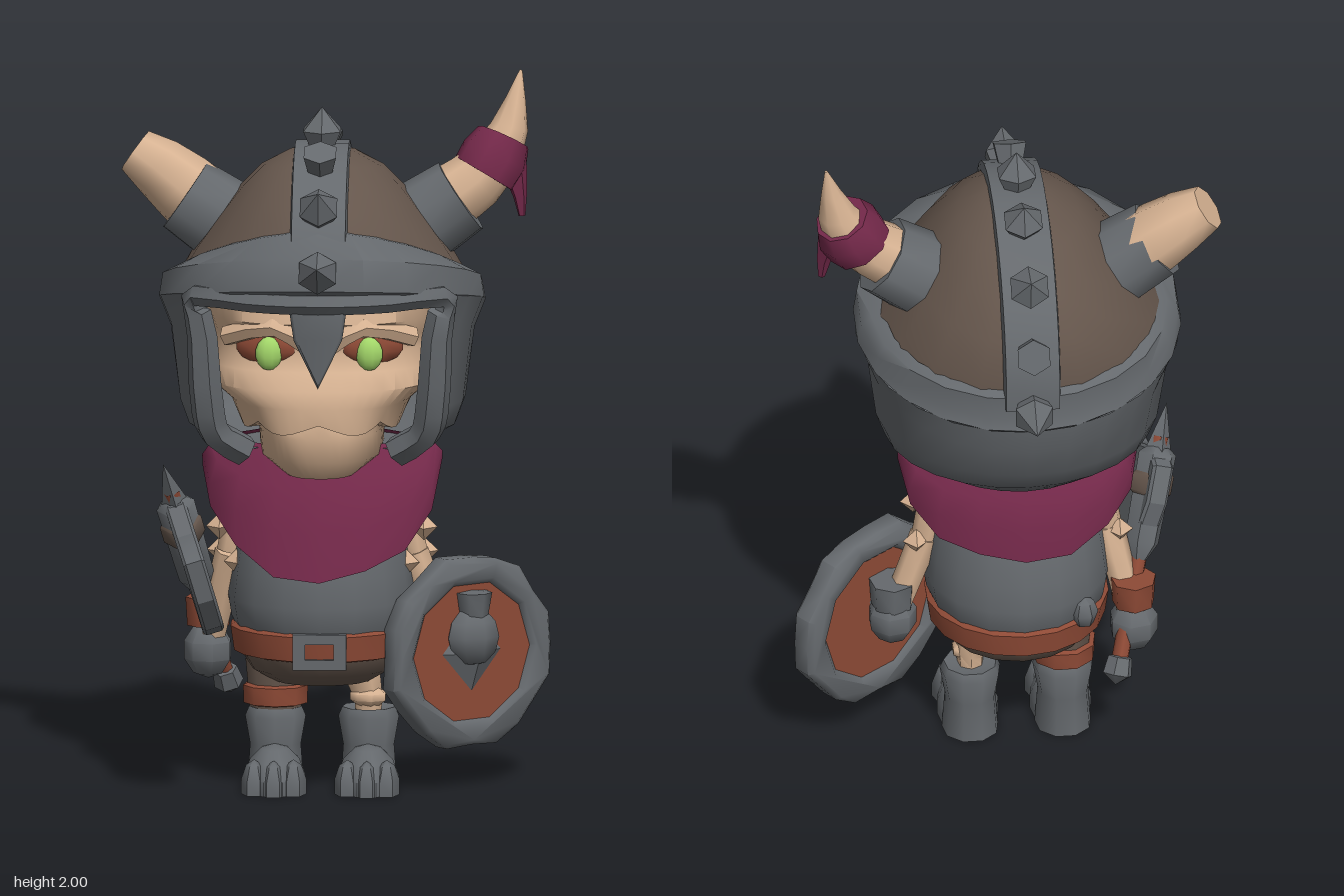
import * as THREE from 'three';
import { toCreasedNormals } from 'three/addons/utils/BufferGeometryUtils.js';

const V = (x, y, z) => new THREE.Vector3(x, y, z);
const mat = (name, color) => new THREE.MeshStandardMaterial({ name, color, side: THREE.DoubleSide });
const CX = -0.035; // middle of the body and head
const { sin, cos, PI, abs, sign, max } = Math;

export function createModel() {
  const root = new THREE.Group();
  const steel = mat('steel', 0x65696d), leather = mat('brownLeather', 0x65564c), bone = mat('bone', 0xd6b292);
  const wine = mat('wineCloth', 0x74294a), rust = mat('rustLeather', 0x8e4a36), green = mat('greenEye', 0xa4d86a);

  const add = (name, geo, m, parent = root, crease = 0.9) => {
    const mesh = new THREE.Mesh(toCreasedNormals(geo, crease), m);
    mesh.name = name;
    parent.add(mesh);
    return mesh;
  };
  // Surface from a rule f(u, v) with u and v in 0..1
  const grid = (nu, nv, f) => {
    const pos = [], idx = [];
    for (let j = 0; j <= nv; j++) for (let i = 0; i <= nu; i++) pos.push(...f(i / nu, j / nv).toArray());
    for (let j = 0; j < nv; j++) for (let i = 0; i < nu; i++) {
      const a = j * (nu + 1) + i, b = a + nu + 1;
      idx.push(a, a + 1, b, b, a + 1, b + 1);
    }
    const g = new THREE.BufferGeometry();
    g.setAttribute('position', new THREE.Float32BufferAttribute(pos, 3));
    g.setIndex(idx);
    return g;
  };
  const pick = (a, t) => { // linear lookup in a list
    const k = Math.min(Math.floor(t * (a.length - 1)), a.length - 2), f = t * (a.length - 1) - k;
    return a[k] + (a[k + 1] - a[k]) * f;
  };
  // Capped tube with changing radius
  const taper = (pts, radii, sides = 8, n = 6) => {
    const c = new THREE.CatmullRomCurve3(pts.map(p => V(...p))), fr = c.computeFrenetFrames(n);
    return grid(sides, n + 2, (u, v) => {
      const j = Math.round(v * (n + 2)) - 1, k = Math.min(max(j, 0), n), a = u * 2 * PI;
      const r = j === k ? pick(radii, k / n) : 0;
      return c.getPoint(k / n).addScaledVector(fr.normals[k], r * cos(a)).addScaledVector(fr.binormals[k], r * sin(a));
    });
  };
  const vecs = pts => pts.map(p => new THREE.Vector2(...p));
  const lathe = (pts, n = 16) => new THREE.LatheGeometry(vecs(pts), n);
  const ball = (x, y, z, sx, sy, sz, w = 10, h = 7) => new THREE.SphereGeometry(1, w, h).scale(sx, sy, sz).translate(x, y, z);
  const plate = (pts, depth) => new THREE.ExtrudeGeometry(new THREE.Shape(vecs(pts)),
    { depth, bevelSize: 0.008, bevelThickness: 0.008, bevelSegments: 1 });

  // ---- Head and helmet ----
  const head = new THREE.Group();
  head.name = 'head';
  head.position.x = CX;
  root.add(head);
  const planeY = a => 1.44 + 0.12 * cos(a); // tilted brim
  const lipY = a => planeY(a) - 0.06 - 0.03 * cos(a);
  const lat0 = a => Math.asin((0.02 + 0.116 * cos(a)) / 0.41);
  // Dome is round along z and more tent-like along x
  const dome = (a, l, s) => V(0.43 * s * cos(l) * sin(a) * (1 - 0.23 * sin(2 * max(l, 0))), 1.4 + 0.405 * s * sin(l), 0.422 * s * cos(l) * cos(a));
  add('helmetDome', grid(18, 6, (u, v) => { const a = u * 2 * PI, l = lat0(a); return dome(a, l + (PI / 2 - l) * v, 1); }), leather, head);
  add('helmetBrim', grid(22, 4, (u, v) => {
    const a = u * 2 * PI, k = Math.round(v * 4), l = lat0(a) + 0.09 + 0.13 * abs(cos(a));
    if (k < 2) return dome(a, l + (k ? 0 : 0.04), k ? 1.035 : 0.98);
    const r = [0.448, 0.458, 0.41][k - 2];
    return V(r * sin(a), [planeY(a), lipY(a), lipY(a) - 0.04][k - 2], r * cos(a) * (cos(a) < 0 ? 0.97 : 1));
  }), steel, head);
  const gx = [0.457, 0.425, 0.4, 0.375, 0.27, 0.1], gz = [0.446, 0.43, 0.38, 0.335, 0.265, 0.1];
  const guard = (a, t) => V(pick(gx, t) * sin(a), pick([lipY(a), lipY(a) - 0.08, 1.1, 1.03, 0.97, 0.985], t), pick(gz, t) * cos(a));
  const open = 0.9;
  add('helmetGuard', grid(18, 5, (u, v) => guard(open + u * (2 * PI - 2 * open), v)), steel, head);
  const side = [0.8, 0.6, 0.4, 0.2, 0.03].map(t => guard(open, t).toArray());
  const brow = [0.5, 0.2, -0.2, -0.5].map(a => [0.425 * sin(a), 1.43, 0.425 * cos(a)]);
  add('faceOpeningTrim', taper([...side, ...brow, ...side.map(([x, y, z]) => [-x, y, z]).reverse()], [0.045, 0.048, 0.032, 0.032, 0.032, 0.048, 0.045], 6, 28), steel, head);
  add('noseGuard', plate([[-0.085, 1.5], [0.085, 1.5], [0.06, 1.33], [0, 1.2], [-0.06, 1.33]], 0.035).translate(0, 0, 0.39), steel, head);
  add('crestBand', grid(3, 16, (u, v) => {
    const k = Math.round(u * 3), s = k % 3 ? 1.03 : 0.95, t = 0.2 + v * (PI - 0.1);
    return V([-0.08, -0.075, 0.075, 0.08][k], 1.4 + 0.405 * s * sin(t), 0.428 * s * cos(t));
  }), steel, head, 0.5);
  // Spikes along the crest: angle, tip distance, blunt or not
  [[15, 0.57], [39, 0.54], [63, 0.475, 1], [88, 0.52], [112, 0.51], [138, 0.52], [162, 0.485, 1], [185, 0.56]].forEach(([deg, tip, blunt]) => {
    const a = deg * PI / 180, L = tip - 0.4;
    const g = lathe(blunt ? [[0.035, 0], [0.052, L], [0, L]] : [[0.035, 0], [0.06, L * 0.45], [0, L]], 6);
    add('crestSpike', g.rotateX(PI / 2 - a).translate(0, 1.4 + 0.4 * sin(a), 0.4 * cos(a)), steel, head, 0.3);
  });

  // Horns: one broken, one whole with a cloth wrap
  for (const s of [-1, 1]) add('hornSocket', taper([[CX + s * 0.2, 1.53, -0.05], [CX + s * 0.385, 1.655, -0.06]], [0.13, 0.113], 9, 1), steel);
  add('brokenHorn', taper([[-0.36, 1.62, -0.06], [-0.46, 1.705, -0.08], [-0.56, 1.775, -0.095]], [0.105, 0.097, 0.066], 8, 3), bone);
  add('wholeHorn', taper([[0.29, 1.63, -0.06], [0.4, 1.71, -0.08], [0.475, 1.82, -0.11], [0.515, 2, -0.14]], [0.095, 0.085, 0.062, 0.004], 8, 7), bone);
  add('hornWrap', taper([[0.415, 1.715, -0.08], [0.445, 1.765, -0.09], [0.468, 1.815, -0.105]], [0.095, 0.098, 0.078], 9, 2), wine);
  add('hornWrapTail', taper([[0.49, 1.75, -0.08], [0.51, 1.68, -0.07], [0.52, 1.6, -0.065]], [0.045, 0.025, 0.01], 5, 3), wine);

  // Face: y, half width and depth of each level
  const face = [[0.905, 0.001, 0.2], [0.91, 0.11, 0.28], [0.96, 0.17, 0.315], [1.03, 0.175, 0.335], [1.075, 0.185, 0.33], [1.075, 0.225, 0.37],
    [1.12, 0.255, 0.375], [1.17, 0.315, 0.365], [1.22, 0.315, 0.33], [1.27, 0.3, 0.305], [1.31, 0.305, 0.315], [1.36, 0.32, 0.37], [1.46, 0.32, 0.34]];
  add('skull', grid(24, face.length - 1, (u, v) => {
    const k = Math.round(v * (face.length - 1)), [y, w, z] = face[k], a = (u - 0.5) * PI;
    const lip = k === 4 || k === 5 ? 0.03 * abs(sin(a * 4)) : 0; // wavy upper lip
    return V(w * sign(sin(a)) * abs(sin(a)) ** 0.8, y - lip, z * max(cos(a), 0) ** 0.7);
  }), bone, head);
  for (const s of [-1, 1]) {
    add('eyeSocket', ball(0, 0, 0, 0.088, 0.052, 0.03).rotateY(s * 0.3).translate(s * 0.15, 1.285, 0.28), rust, head);
    add('eye', ball(s * 0.14, 1.27, 0.308, 0.038, 0.048, 0.025), green, head);
    add('browBone', taper([[s * 0.03, 1.3, 0.35], [s * 0.12, 1.35, 0.345], [s * 0.26, 1.31, 0.25]], [0.03, 0.028, 0.03], 6, 4), bone, head);
  }

  // ---- Body ----
  const body = new THREE.Group();
  body.name = 'body';
  body.position.set(CX, 0, 0.022);
  root.add(body);
  add('tunic', lathe([[0.235, 0.44], [0.252, 0.48], [0.262, 0.54], [0.252, 0.62], [0.24, 0.7], [0.205, 0.8], [0.17, 0.88], [0.14, 1]]), steel, body);
  add('trousers', lathe([[0, 0.295], [0.14, 0.305], [0.2, 0.34], [0.235, 0.4], [0.235, 0.44]]), leather, body);
  add('belt', lathe([[0.23, 0.385], [0.248, 0.39], [0.258, 0.46], [0.235, 0.475]], 18), rust, body);
  const buckle = new THREE.Shape(vecs([[-0.075, -0.05], [0.075, -0.05], [0.075, 0.05], [-0.075, 0.05]]));
  buckle.holes.push(new THREE.Path(vecs([[-0.04, -0.022], [-0.04, 0.022], [0.04, 0.022], [0.04, -0.022]])));
  add('buckle', new THREE.ExtrudeGeometry(buckle, { depth: 0.03, bevelEnabled: false }).translate(0, 0.42, 0.23), steel, body);
  add('beltPouch', ball(-0.17, 0.49, -0.19, 0.04, 0.05, 0.04, 6, 4), steel, body);

  // Scarf hanging low in front and behind, arched over the shoulders
  add('scarf', grid(16, 4, (u, v) => {
    const a = u * 2 * PI, c = cos(a), k = Math.round(v * 4), hem = 0.915 - (c > 0 ? 0.295 : 0.195) * abs(c) + 0.01 * sin(5 * a);
    const t = [0, 0.3, 0.65, 1, 0.95][k], inset = k === 4 ? 0.035 : 0, bulge = [0, 0.04, 0.03, 0, 0][k];
    const rx = 0.25 + 0.085 * t + bulge - inset, rz = 0.17 + (c > 0 ? 0.14 : 0.08) * t + bulge * 0.7 - inset;
    return V(CX + rx * sin(a), 0.985 + (hem - 0.985) * t, rz * c);
  }), wine);

  // ---- Legs and boots ----
  add('rightThigh', lathe([[0.07, 0.17], [0.075, 0.25], [0.085, 0.36]], 9).translate(-0.165, 0, 0.01), leather);
  add('thighStrap', lathe([[0.07, 0.23], [0.09, 0.235], [0.092, 0.285], [0.07, 0.295]], 9).translate(-0.165, 0, 0.01), rust);
  add('leftLegBone', taper([[0.09, 0.18, 0.02], [0.095, 0.25, 0.02], [0.07, 0.34, 0.02]], [0.035, 0.04, 0.055], 7, 4), bone);
  add('kneeBone', ball(0.095, 0.255, 0.03, 0.055, 0.03, 0.045, 7, 5), bone);
  for (const x of [-0.165, 0.095]) {
    const floor = g => { // flatten the sole
      const p = g.attributes.position;
      for (let i = 0; i < p.count; i++) p.setY(i, max(p.getY(i), 0.003));
      return g;
    };
    add('bootShaft', lathe([[0.08, 0.003], [0.072, 0.12], [0.086, 0.2], [0.075, 0.225], [0, 0.21]], 9).translate(x, 0, 0.012), steel);
    add('bootFoot', floor(ball(x, 0.02, 0.09, 0.088, 0.11, 0.16)), steel);
    for (const t of [-0.055, 0, 0.055]) add('bootToe', floor(ball(x + t, 0.02, 0.2 - abs(t) * 0.4, 0.038, 0.08, 0.062, 6, 5)), steel);
  }

  // ---- Arms ----
  for (const s of [-1, 1]) {
    const at = (x, y, z) => [CX + s * x, y, z];
    const hand = s > 0 ? at(0.35, 0.4, 0.0) : at(0.32, 0.37, -0.06), elbow = at(0.255, 0.66, 0.01);
    add('shoulderPad', taper([at(0.19, 0.9, 0.02), at(0.235, 0.77, 0.02)], [0.055, 0.07], 7, 1), steel);
    add('upperArm', taper([at(0.2, 0.86, 0.01), at(0.235, 0.75, 0.01), elbow], [0.045, 0.045, 0.04], 7, 4), bone);
    for (const [dx, dy, dz] of [[0.03, 0.08, 0.05], [-0.03, 0.09, -0.04], [0.03, 0, -0.03], [-0.02, -0.02, 0.05]]) // jagged bone ends
      add('boneKnob', new THREE.OctahedronGeometry(0.038).translate(elbow[0] + s * dx, elbow[1] + dy, elbow[2] + dz), bone, root, 0.2);
    add('forearm', taper([elbow, hand], [0.045, 0.04], 7, 2), bone);
    add('wristCuff', taper([[hand[0], 0.52, hand[2]], [hand[0], 0.44, hand[2]]], [0.065, 0.06], 7, 1), s > 0 ? steel : rust);
    add('gauntlet', ball(hand[0], hand[1], hand[2], 0.072, 0.08, 0.072, 7, 5), steel);
  }

  // ---- Shield, turned outward ----
  const shield = new THREE.Group();
  shield.name = 'shield';
  shield.position.set(0.368, 0.39, 0.055);
  shield.rotation.y = 0.66;
  root.add(shield);
  const circle = (n, f) => Array.from({ length: n }, (_, i) => [f(i) * cos(i * 2 * PI / n), f(i) * sin(i * 2 * PI / n)]);
  const rim = new THREE.Shape(vecs(circle(20, i => 0.258 + 0.01 * sin(i * 2.4))));
  rim.holes.push(new THREE.Path(vecs(circle(10, () => 0.215).reverse())));
  add('shieldRim', new THREE.ExtrudeGeometry(rim, { depth: 0.05, bevelSize: 0.014, bevelThickness: 0.014, bevelSegments: 1 }).translate(0, 0, -0.025), steel, shield);
  add('shieldBoard', new THREE.CylinderGeometry(0.22, 0.22, 0.05, 10).rotateX(PI / 2), rust, shield);
  add('shieldBoss', ball(0, 0.045, 0.03, 0.083, 0.085, 0.065, 8, 6), steel, shield);
  add('bossPoint', new THREE.OctahedronGeometry(1).scale(0.1, 0.11, 0.045).translate(0, 0, 0.025), steel, shield, 0.2);
  add('bossTop', lathe([[0.04, 0.1], [0.052, 0.17], [0, 0.175]], 7).translate(0, 0, 0.035), steel, shield);

  // ---- Axe: local y runs up the handle, local x toward the edge ----
  const axe = new THREE.Group();
  axe.name = 'axe';
  const up = V(-0.17, 0.66, 0.33).normalize(), fwd = V(0.2, -0.4, 0.89);
  fwd.addScaledVector(up, -fwd.dot(up)).normalize();
  axe.applyMatrix4(new THREE.Matrix4().makeBasis(fwd, up, fwd.clone().cross(up)).setPosition(-0.3, 0.26, -0.15));
  root.add(axe);
  add('axeHandle', lathe([[0.024, 0], [0.024, 0.68]], 7), rust, axe);
  add('axePommel', lathe([[0, -0.03], [0.042, 0], [0.035, 0.05], [0, 0.06]], 6), steel, axe);
  add('axeSocket', lathe([[0.025, 0.33], [0.05, 0.38], [0.055, 0.63], [0.03, 0.65]], 6), steel, axe);
  add('axeBinding', lathe([[0.05, 0.51], [0.06, 0.52], [0.06, 0.57], [0.05, 0.58]], 6), leather, axe);
  add('axeSpike', new THREE.ConeGeometry(0.05, 0.18, 4).translate(0, 0.685, 0), steel, axe, 0.3);
  add('axeBlade', plate([[-0.07, 0.5], [0, 0.36], [0.14, 0.38], [0.28, 0.38], [0.36, 0.45], [0.39, 0.56], [0.36, 0.67],
    [0.28, 0.67], [0.17, 0.63], [0, 0.64], [-0.07, 0.6]], 0.045).translate(0, 0, -0.022), steel, axe, 0.4);
  return root;
}
